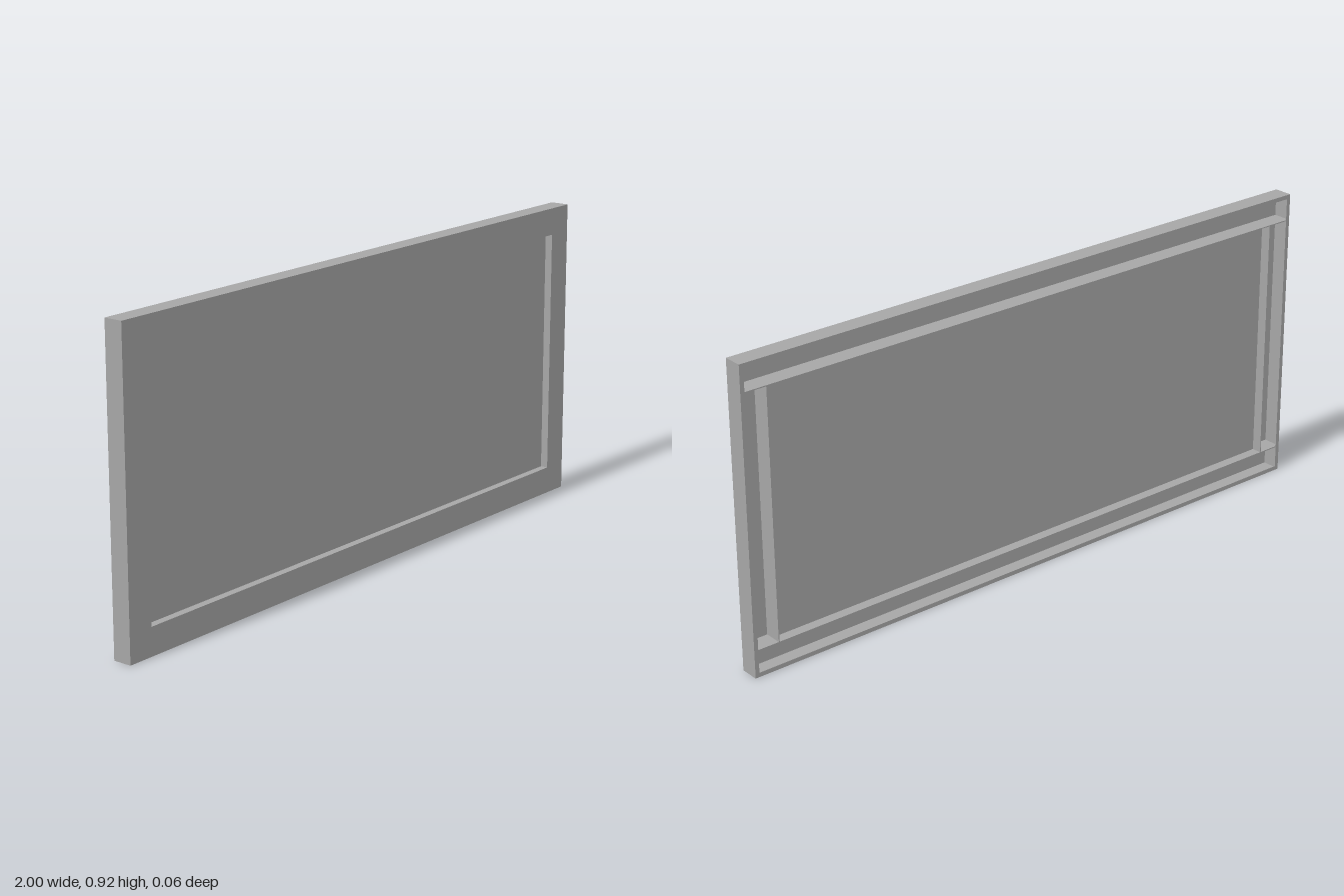
import * as THREE from 'three';

export function createModel() {
  const W = 2, H = 0.918, D = 0.058;   // overall size
  const border = 0.083;                // width of the front face ring
  const lip = 0.013;                   // return lip at the back
  const t = 0.003;                     // sheet thickness
  const metal = new THREE.MeshStandardMaterial({ color: 0xa6a6a6 });
  metal.name = 'grey metal';
  const model = new THREE.Group();
  model.name = 'framedPanel';

  function add(name, geometry, x, y, z) {
    const mesh = new THREE.Mesh(geometry, metal);
    mesh.name = name;
    mesh.position.set(x, y, z);
    model.add(mesh);
  }
  const box = (name, w, h, d, x, y, z) => add(name, new THREE.BoxGeometry(w, h, d), x, y, z);

  // Flat rectangular ring with an opening, inset by the given margin
  function ring(margin, depth) {
    const rect = (path, w, h) => path.moveTo(-w / 2, -h / 2).lineTo(w / 2, -h / 2)
      .lineTo(w / 2, h / 2).lineTo(-w / 2, h / 2).closePath();
    const shape = rect(new THREE.Shape(), W, H);
    shape.holes.push(rect(new THREE.Path(), W - 2 * margin, H - 2 * margin));
    return new THREE.ExtrudeGeometry(shape, { depth, bevelEnabled: false });
  }

  // Folded outer casing: front ring, edge walls and back lip
  add('frontFrame', ring(border, t), 0, H / 2, D / 2 - t);
  add('outerWalls', ring(t, D - 2 * t), 0, H / 2, -D / 2 + t);
  add('backLip', ring(lip, t), 0, H / 2, -D / 2);

  // Inner walls: horizontal ones run the full width, vertical ones fit between
  const inner = D - t;
  for (const s of [-1, 1]) {
    box(s > 0 ? 'upperInnerWall' : 'lowerInnerWall', W - 2 * t, t, inner,
      0, H / 2 + s * (H / 2 - border + t / 2), -t / 2);
    box(s > 0 ? 'leftInnerWall' : 'rightInnerWall', t, H - 2 * border, inner,
      s * (W / 2 - border + t / 2), H / 2, -t / 2);
  }

  // Recessed panel filling the opening
  box('panel', W - 2 * border, H - 2 * border, t, 0, H / 2, 0.004);

  return model;
}
